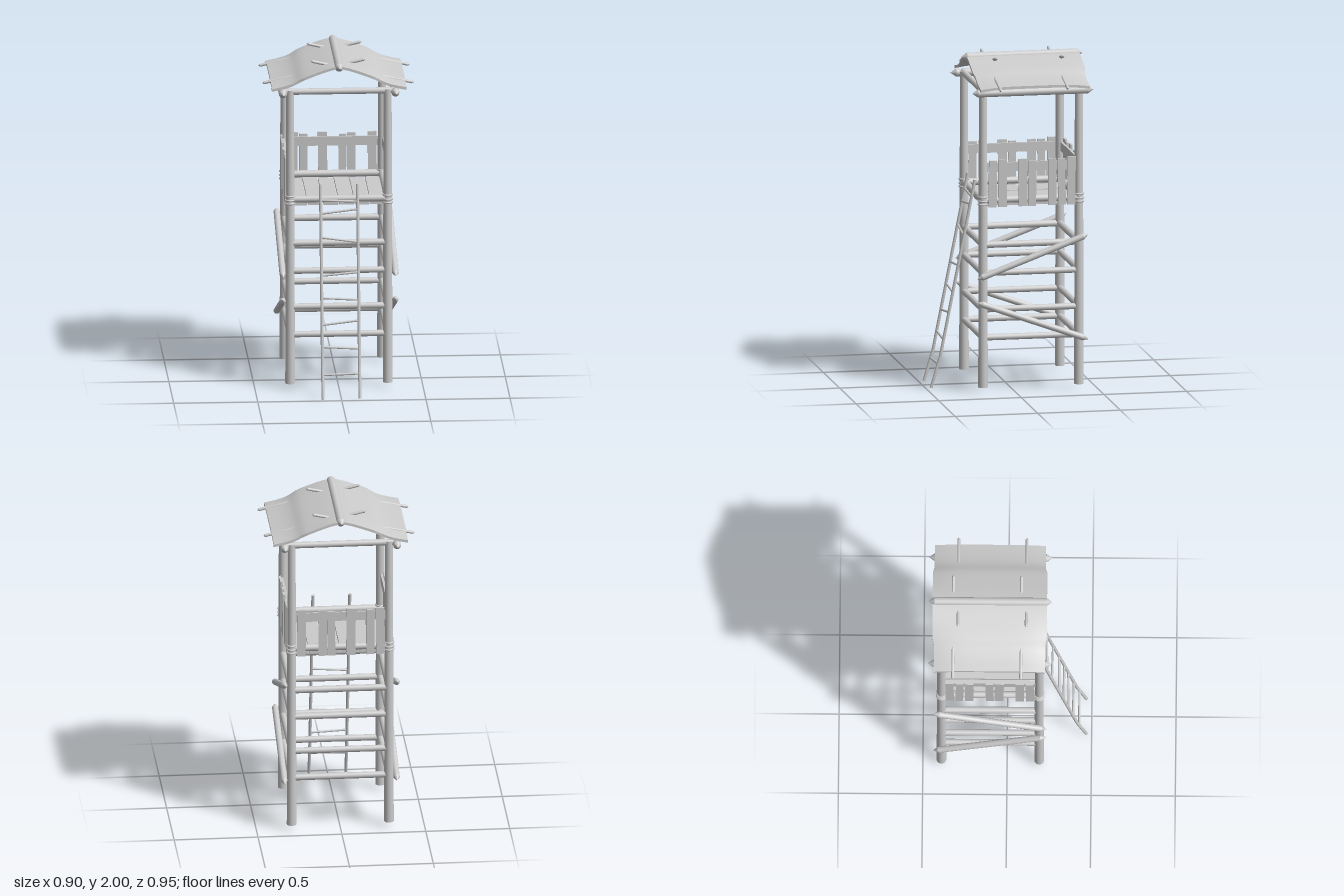
import * as THREE from 'three';
import { mergeGeometries } from 'three/addons/utils/BufferGeometryUtils.js';

const material = new THREE.MeshStandardMaterial({ color: 0xcccccc });
const sheetMaterial = new THREE.MeshStandardMaterial({ color: 0xcccccc, side: THREE.DoubleSide });
const V = (x, y, z) => new THREE.Vector3(x, y, z);
const UP = V(0, 1, 0);

const POST_X = 0.29, FRONT = 0.19, BACK = -0.39, MID_Z = -0.1;

export function createModel() {
  const model = new THREE.Group();
  model.name = 'watchtower';

  function add(name, geometry, mat = material) {
    const mesh = new THREE.Mesh(geometry, mat);
    mesh.name = name;
    model.add(mesh);
    return mesh;
  }

  // Round log between two points; tip > 0 sharpens both ends within the length
  function log(name, a, b, r, { tip = 0, topR = r, sides = 16 } = {}) {
    const len = a.distanceTo(b), body = len - 2 * tip;
    const parts = [new THREE.CylinderGeometry(topR, r, body, sides, 1, tip > 0)];
    if (tip > 0) {
      const cone = new THREE.ConeGeometry(r, tip, sides, 1, true).translate(0, (body + tip) / 2, 0);
      parts.push(cone, cone.clone().rotateX(Math.PI));
    }
    const mesh = add(name, mergeGeometries(parts));
    mesh.position.copy(a).lerp(b, 0.5);
    mesh.quaternion.setFromUnitVectors(UP, b.clone().sub(a).normalize());
    return mesh;
  }

  function board(name, w, h, d, x, y, z) {
    const mesh = add(name, new THREE.BoxGeometry(w, h, d));
    mesh.position.set(x, y, z);
    return mesh;
  }

  // Corner posts with rope lashings at platform height
  for (const x of [-POST_X, POST_X]) {
    for (const z of [FRONT, BACK]) {
      log('post', V(x, 0.03, z), V(x, 1.83, z), 0.029, { topR: 0.024, sides: 20 });
      for (const y of [1.135, 1.155, 1.18]) {
        const rope = add('lashing', new THREE.TorusGeometry(0.027, 0.006, 8, 20));
        rope.rotation.x = Math.PI / 2;
        rope.position.set(x, y, z);
      }
    }
  }

  // Horizontal rails on all four sides, plus platform beams
  for (const [y, r] of [[0.33, 0.019], [0.5, 0.019], [0.72, 0.019], [0.89, 0.02], [1.16, 0.021]]) {
    const name = y > 1 ? 'platformBeam' : 'rail';
    for (const z of [FRONT, BACK]) log(name, V(-POST_X, y, z), V(POST_X, y, z), r);
    for (const x of [-POST_X, POST_X]) log(name, V(x, y, BACK), V(x, y, FRONT), r);
  }

  // Sharpened diagonal braces and eave beams on both sides
  for (const s of [-1, 1]) {
    const x = s * 0.335;
    log('brace', V(x, 0.69, 0.235), V(x, 0.94, -0.44), 0.019, { tip: 0.035 });
    log('brace', V(x, 0.55, 0.235), V(x, 0.305, -0.44), 0.019, { tip: 0.035 });
    log('eaveBeam', V(x, 1.815, 0.265), V(x, 1.815, -0.47), 0.024, { tip: 0.035 });
  }
  for (const z of [FRONT, BACK]) log('crossBeam', V(-0.335, 1.82, z), V(0.335, 1.82, z), 0.019);
  log('ridgeBeam', V(0, 1.974, 0.265), V(0, 1.974, -0.47), 0.025, { tip: 0.035 });

  // Rafters crossing under the ridge and poking through the opposite slope
  for (const s of [-1, 1]) {
    for (const z of s < 0 ? [-0.322, 0.082] : [-0.293, 0.112]) {
      log('rafter', V(s * 0.45, 1.846, z), V(-s * 0.165, 1.986, z), 0.009, { tip: 0.012, sides: 10 });
    }
  }

  // Floor planks running front to back
  const planks = 6, plankW = 0.56 / planks;
  for (let i = 0; i < planks; i++) {
    board('floorPlank', plankW - 0.006, 0.018, 0.565 + 0.012 * (i % 2),
      -0.28 + plankW * (i + 0.5), 1.127 + 0.003 * (i % 2), MID_Z);
  }

  // Fences: pickets as [centre, width, top], with a board inside
  const sidePickets = [[0.135, 0.048, 1.4], [0.075, 0.052, 1.405], [-0.047, 0.053, 1.405],
    [-0.104, 0.047, 1.395], [-0.225, 0.05, 1.4], [-0.282, 0.045, 1.4], [-0.341, 0.048, 1.41]];
  for (const s of [-1, 1]) {
    sidePickets.forEach(([z, w, top], i) => {
      const picket = board('sidePicket', 0.013, top - 1.12, w, s * 0.311, (top + 1.12) / 2, z);
      picket.rotation.x = 0.012 * ((i % 3) - 1);
    });
    board('sideFenceBoard', 0.014, 0.055, 0.56, s * 0.297, 1.358, MID_Z);
  }
  const backPickets = [[-0.237, 0.052, 1.41], [-0.177, 0.047, 1.4], [-0.062, 0.054, 1.41],
    [0.056, 0.046, 1.395], [0.107, 0.05, 1.405], [0.233, 0.052, 1.41]];
  backPickets.forEach(([x, w, top], i) => {
    const picket = board('backPicket', w, top - 1.115, 0.013, x, (top + 1.115) / 2, BACK - 0.021);
    picket.rotation.z = 0.012 * ((i % 3) - 1);
  });
  board('backFenceBoard', 0.56, 0.055, 0.014, 0, 1.358, BACK - 0.007);

  // Ladder: bent side poles and uneven rungs
  const ladderZ = (y) => (y < 0.2 ? 0.468 - 0.29 * y : 0.41 - 0.197 * (y - 0.2));
  for (const x of [-0.11, 0.11]) {
    log('ladderPole', V(x, 0.002, ladderZ(0)), V(x, 0.2, ladderZ(0.2)), 0.0095, { sides: 10 });
    log('ladderPole', V(x, 0.19, ladderZ(0.19)), V(x, 1.25, ladderZ(1.25)), 0.0095, { sides: 10 });
  }
  const rungs = [[0.14, 0.146], [0.302, 0.29], [0.43, 0.455], [0.588, 0.575], [0.718, 0.736],
    [0.942, 0.912], [1.08, 1.105], [1.158, 1.148]];
  for (const [l, r] of rungs) {
    log('ladderRung', V(-0.112, l, ladderZ(l)), V(0.112, r, ladderZ(r)), 0.007, { sides: 8 });
  }

  // Roof sheets: thin slabs bent over the rafters, drooping toward the edges
  const profile = new THREE.CatmullRomCurve3([V(0.005, 1.974, 0), V(0.06, 1.962, 0), V(0.13, 1.943, 0),
    V(0.21, 1.918, 0), V(0.27, 1.888, 0), V(0.33, 1.869, 0), V(0.4, 1.854, 0)]);
  for (const s of [-1, 1]) {
    const geo = new THREE.BoxGeometry(1, 0.016, 1, 28, 1, 20);
    const p = geo.attributes.position;
    for (let i = 0; i < p.count; i++) {
      const u = p.getX(i) + 0.5, w = p.getZ(i) * 2;
      const q = profile.getPoint(s > 0 ? u : 1 - u);
      const half = 0.34 - 0.01 * THREE.MathUtils.smoothstep(q.x, 0.2, 0.25);
      const droop = 0.016 * Math.pow(Math.abs(w), 4) * THREE.MathUtils.smoothstep(q.x, 0.02, 0.3);
      p.setXYZ(i, s * q.x, q.y + p.getY(i) - droop, -0.105 + w * half);
    }
    geo.computeVertexNormals();
    add('roofSheet', geo, sheetMaterial);
  }

  return model;
}
